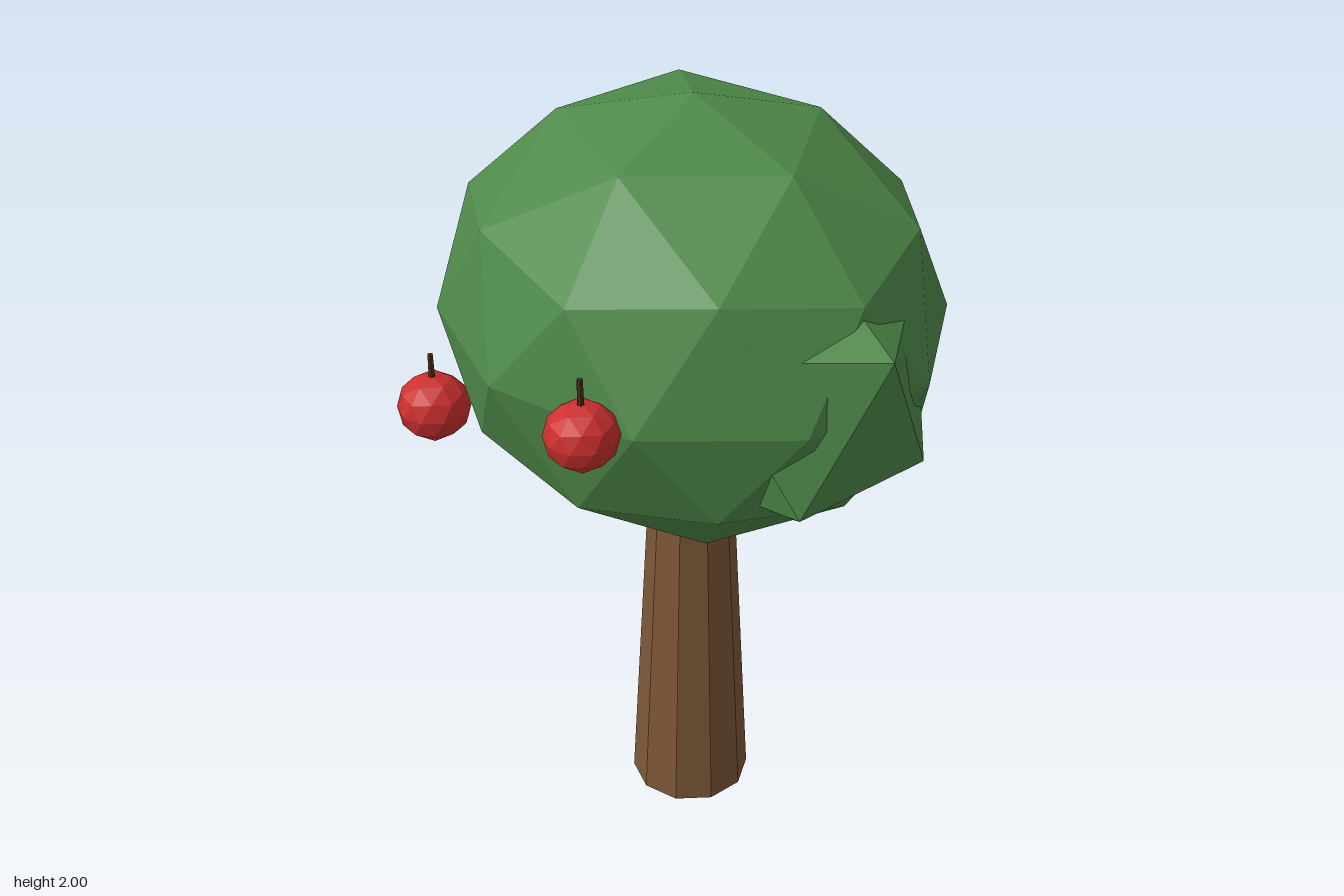
import * as THREE from 'three';

const material = (color) => new THREE.MeshStandardMaterial({ color, flatShading: true });

// Faceted ball with a vertex at the top and one ring vertex towards +x
function ball(name, detail, radii, position, mat) {
  const geometry = new THREE.IcosahedronGeometry(1, detail);
  geometry.rotateZ(-Math.atan(2 / (1 + Math.sqrt(5))));
  geometry.scale(...radii);
  geometry.computeVertexNormals();
  const mesh = new THREE.Mesh(geometry, mat);
  mesh.name = name;
  mesh.position.set(...position);
  return mesh;
}

function cylinder(name, rTop, rBottom, height, sides, baseY, mat) {
  const mesh = new THREE.Mesh(new THREE.CylinderGeometry(rTop, rBottom, height, sides), mat);
  mesh.name = name;
  mesh.position.y = baseY + height / 2;
  return mesh;
}

export function createModel() {
  const tree = new THREE.Group();
  tree.name = 'appleTree';
  const bark = material(0x7d5838);
  const leaf = material(0x4f8a4a);
  const red = material(0xcc2f2f);
  const stemBrown = material(0x4a2e1a);

  // Tapered ten-sided trunk, running up into the foliage
  const trunk = cylinder('trunk', 0.1, 0.157, 1.1, 10, 0, bark);
  trunk.position.z = -0.036;
  tree.add(trunk);

  // Main crown and the two coarser clumps poking out of its sides
  tree.add(
    ball('crown', 1, [0.646, 0.545, 0.59], [0, 1.455, -0.037], leaf),
    ball('leftClump', 0, [0.41, 0.408, 0.365], [0.314, 1.428, -0.033], leaf),
    ball('rightClump', 0, [0.41, 0.405, 0.37], [-0.314, 1.38, -0.073], leaf)
  );

  // Apples with stems on the front of the crown
  for (const [name, x, y, z, r] of [
    ['rightApple', -0.26, 1.277, 0.541, 0.088],
    ['leftApple', 0.3, 1.463, 0.517, 0.085],
  ]) {
    const apple = new THREE.Group();
    apple.name = name;
    apple.position.set(x, y, z);
    apple.add(
      ball('fruit', 1, [r, r * 0.95, r], [0, 0, 0], red),
      cylinder('stem', 0.007, 0.009, 0.08, 6, 0.06, stemBrown)
    );
    tree.add(apple);
  }
  return tree;
}
